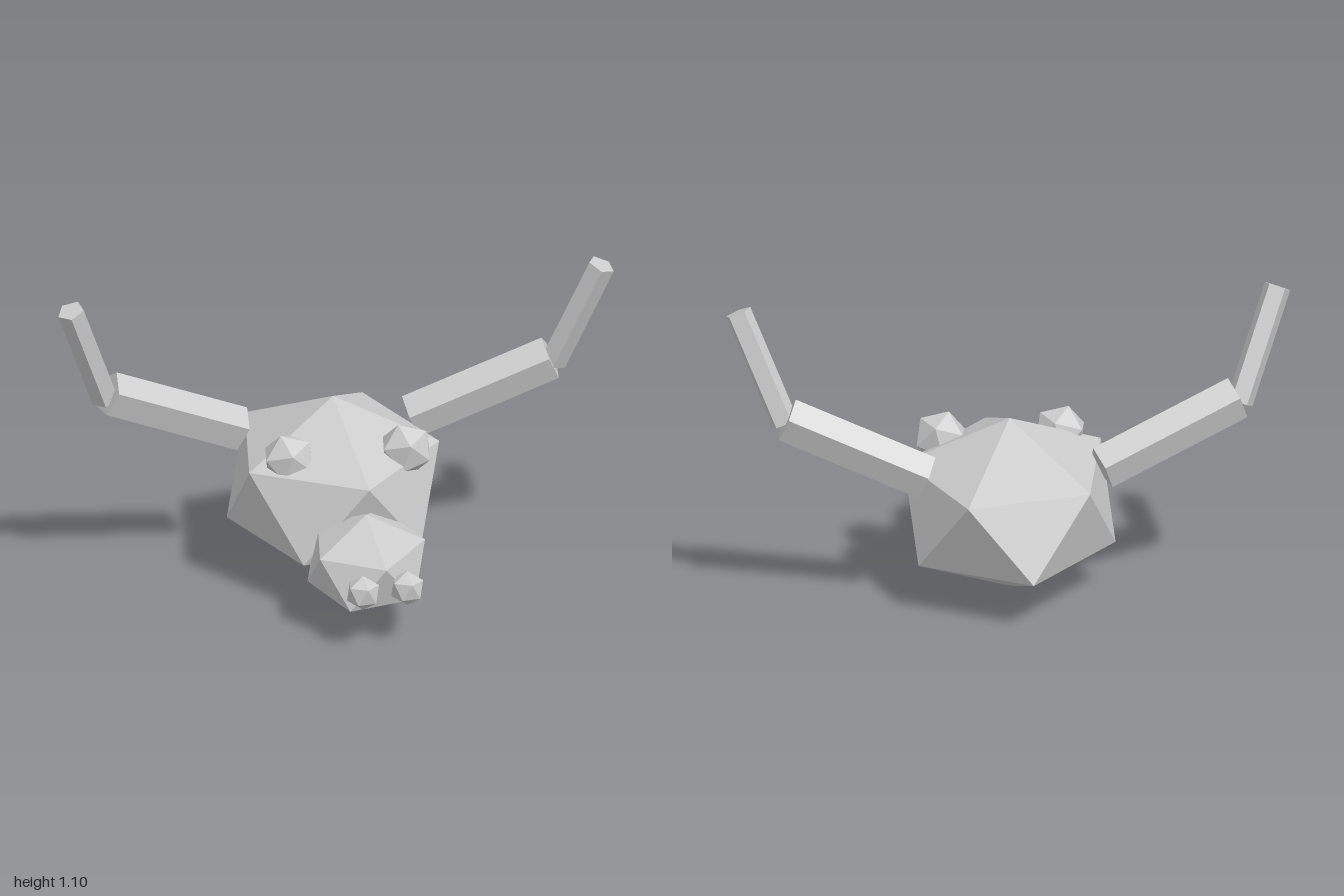
import * as THREE from 'three';

// Twenty-sided ball with its poles on y: two staggered rings of five points.
function ballGeometry() {
  const h = 1 / Math.sqrt(5), r = 2 * h;
  const ring = (i, y, offset) => {
    const a = ((i % 5) * 2 + offset) * Math.PI / 5;
    return [r * Math.cos(a), y, r * Math.sin(a)];
  };
  const top = [0, 1, 0], bottom = [0, -1, 0], points = [];
  for (let i = 0; i < 5; i++) {
    const u0 = ring(i, h, 0), u1 = ring(i + 1, h, 0);
    const l0 = ring(i, -h, 1), l1 = ring(i + 1, -h, 1);
    points.push(top, u1, u0, u0, u1, l0, l0, u1, l1, l0, l1, bottom);
  }
  const geometry = new THREE.BufferGeometry();
  geometry.setAttribute('position', new THREE.Float32BufferAttribute(points.flat(), 3));
  geometry.computeVertexNormals();
  return geometry;
}

export function createModel() {
  const model = new THREE.Group();
  model.name = 'hornedHead';
  const grey = new THREE.MeshStandardMaterial({ color: 0xcccccc, flatShading: true });
  grey.name = 'grey';
  const ball = ballGeometry();

  function addBall(name, position, radii, tilt = [0, 0, 0]) {
    const mesh = new THREE.Mesh(ball, grey);
    mesh.name = name;
    mesh.position.set(...position);
    mesh.scale.set(...radii);
    mesh.rotation.set(...tilt);
    model.add(mesh);
  }

  // Five-sided bar between two points, with one edge turned towards ridge.
  function addBar(name, parent, from, to, radius, ridge) {
    const a = new THREE.Vector3(...from), b = new THREE.Vector3(...to);
    const y = b.clone().sub(a), length = y.length();
    y.normalize();
    const x = y.clone().cross(new THREE.Vector3(...ridge)).normalize();
    const z = x.clone().cross(y);
    const mesh = new THREE.Mesh(new THREE.CylinderGeometry(radius, radius, length, 5), grey);
    mesh.name = name;
    mesh.quaternion.setFromRotationMatrix(new THREE.Matrix4().makeBasis(x, y, z));
    mesh.position.copy(a).add(b).multiplyScalar(0.5);
    parent.add(mesh);
  }

  // Head and snout
  addBall('head', [-0.01, 0.325, -0.205], [0.425, 0.32, 0.559]);
  addBall('snout', [0.095, 0.22, 0.32], [0.235, 0.175, 0.352]);

  // Eyes and nostrils
  addBall('leftEye', [0.248, 0.505, -0.04], [0.1, 0.1, 0.1], [0.1, 0, 0.3]);
  addBall('rightEye', [-0.175, 0.503, 0.05], [0.1, 0.1, 0.1], [0.1, 0, 0.3]);
  addBall('leftNostril', [0.234, 0.22, 0.59], [0.064, 0.065, 0.064]);
  addBall('rightNostril', [0.075, 0.22, 0.633], [0.064, 0.065, 0.064]);

  // Horns: a thick lower bar and a thin upper bar
  const horns = [
    { name: 'leftHorn', root: [0.275, 0.485, -0.405], elbow: [0.775, 0.7, -0.42],
      knee: [0.782, 0.685, -0.42], tip: [0.955, 1.08, -0.355], inward: -1 },
    { name: 'rightHorn', root: [-0.345, 0.493, -0.28], elbow: [-0.817, 0.705, -0.1],
      knee: [-0.828, 0.685, -0.1], tip: [-0.955, 1.08, 0.04], inward: 1 },
  ];
  for (const { name, root, elbow, knee, tip, inward } of horns) {
    const horn = new THREE.Group();
    horn.name = name;
    addBar('lowerHorn', horn, root, elbow, 0.083, [0, 1, 0]);
    addBar('upperHorn', horn, knee, tip, 0.05, [inward, 0, 0.3]);
    model.add(horn);
  }
  return model;
}
